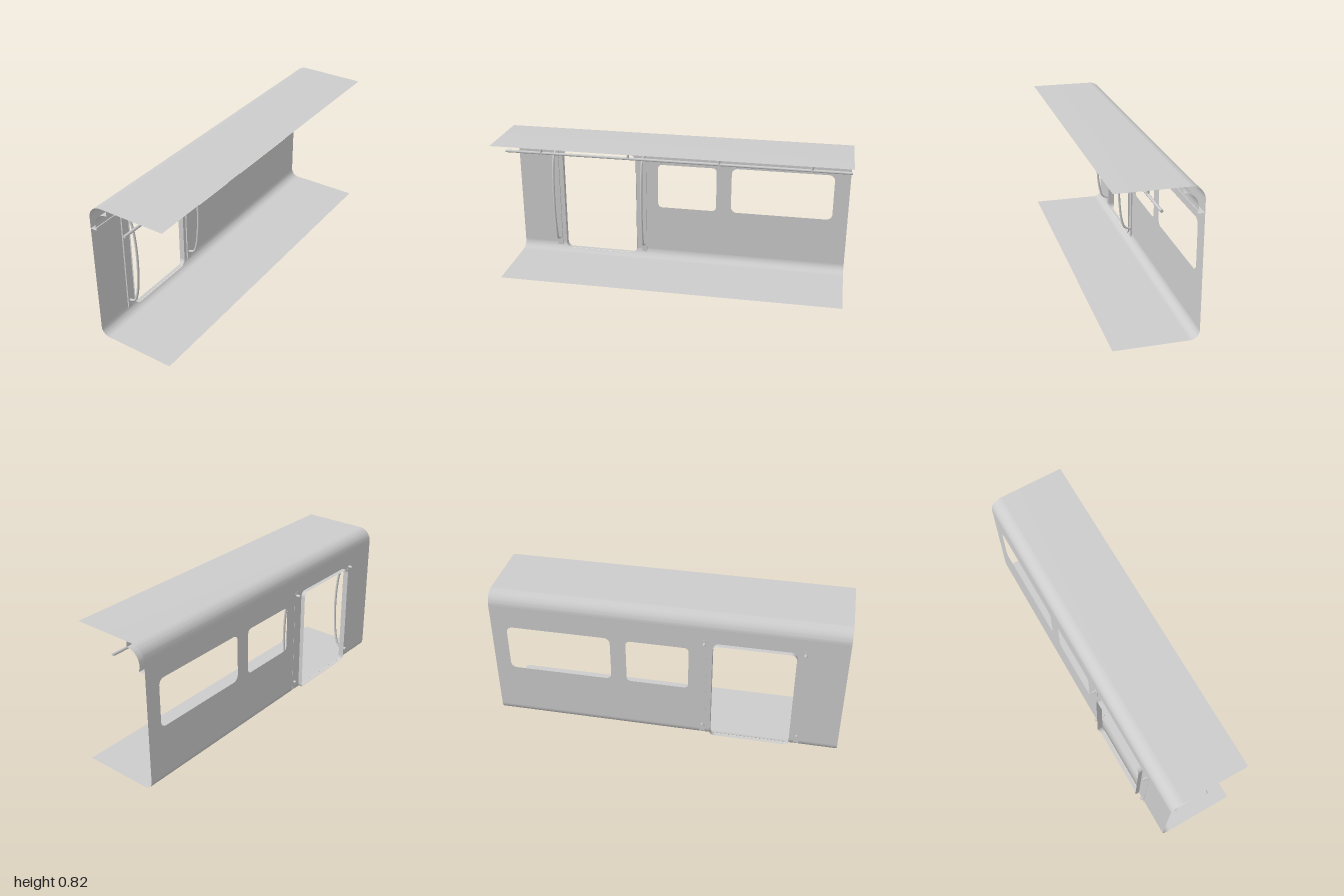
import * as THREE from 'three';
import { toCreasedNormals } from 'three/addons/utils/BufferGeometryUtils.js';

const WALL = -0.213, EDGE = 0.238, TOP = 0.825;
const R_TOP = 0.075, R_LOW = 0.05;
const DOOR = { z0: 0.27, z1: 0.725, y0: 0.018, y1: 0.66, r: 0.032 };
const mat = new THREE.MeshStandardMaterial({ color: 0xcccccc, side: THREE.DoubleSide });

const V = (x, y, z) => new THREE.Vector3(x, y, z);

// Surface through equally long rows of points
function loft(rows) {
  const n = rows[0].length, index = [];
  for (let i = 0; i < rows.length - 1; i++) {
    for (let j = 0; j < n - 1; j++) {
      const a = i * n + j, b = a + n;
      index.push(a, b, a + 1, b, b + 1, a + 1);
    }
  }
  const g = new THREE.BufferGeometry().setFromPoints(rows.flat());
  g.setIndex(index);
  return toCreasedNormals(g, 0.6);
}

// Profile of [x, y] points carried along the full length
const sweep = (profile) => loft([-1, 1].map((z) => profile.map(([x, y]) => V(x, y, z))));

function arc(cx, cy, r, a0, a1, steps = 16) {
  return Array.from({ length: steps + 1 }, (_, i) => {
    const a = a0 + (a1 - a0) * i / steps;
    return [cx + r * Math.cos(a), cy + r * Math.sin(a)];
  });
}

function roundedRect(target, z0, z1, y0, y1, r) {
  target.moveTo(z0 + r, y0);
  target.lineTo(z1 - r, y0);
  target.absarc(z1 - r, y0 + r, r, -Math.PI / 2, 0, false);
  target.lineTo(z1, y1 - r);
  target.absarc(z1 - r, y1 - r, r, 0, Math.PI / 2, false);
  target.lineTo(z0 + r, y1);
  target.absarc(z0 + r, y1 - r, r, Math.PI / 2, Math.PI, false);
  target.lineTo(z0, y0 + r);
  target.absarc(z0 + r, y0 + r, r, Math.PI, Math.PI * 1.5, false);
  return target;
}

// Flat wall with the door notch and two windows
function wallGeometry() {
  const { z0, z1, y1, r } = DOOR;
  const s = new THREE.Shape();
  s.moveTo(-1, R_LOW);
  s.lineTo(z0, R_LOW);
  s.lineTo(z0, y1 - r);
  s.absarc(z0 + r, y1 - r, r, Math.PI, Math.PI / 2, true);
  s.lineTo(z1 - r, y1);
  s.absarc(z1 - r, y1 - r, r, Math.PI / 2, 0, true);
  s.lineTo(z1, R_LOW);
  s.lineTo(1, R_LOW);
  s.lineTo(1, TOP - R_TOP);
  s.lineTo(-1, TOP - R_TOP);
  s.holes.push(roundedRect(new THREE.Path(), -0.22, 0.135, 0.335, 0.61, 0.025));
  s.holes.push(roundedRect(new THREE.Path(), -0.91, -0.31, 0.335, 0.615, 0.035));
  const g = new THREE.ShapeGeometry(s, 8);
  const p = g.attributes.position;
  for (let i = 0; i < p.count; i++) p.setXYZ(i, WALL, p.getY(i), p.getX(i));
  g.computeVertexNormals();
  return g;
}

// Curved foot of the wall, cut down where the door passes through it
function lowerCornerGeometry() {
  const { z0, z1, y0, r } = DOOR;
  const zs = [-1], rows = [];
  for (let i = 0; i <= 10; i++) zs.push(z0 + r * (1 - Math.cos(i / 10 * Math.PI / 2)));
  for (let i = 10; i >= 0; i--) zs.push(z1 - r * (1 - Math.cos(i / 10 * Math.PI / 2)));
  zs.push(1);
  for (const z of zs) {
    const d = Math.min(z - z0, z1 - z);
    const k = THREE.MathUtils.clamp(r - d, 0, r);
    const cut = y0 + r - Math.sqrt(r * r - k * k);
    const tMax = Math.acos(1 - Math.min(cut, R_LOW) / R_LOW);
    rows.push(Array.from({ length: 13 }, (_, j) => {
      const t = tMax * j / 12;
      return V(WALL + R_LOW * (1 - Math.sin(t)), R_LOW * (1 - Math.cos(t)), z);
    }));
  }
  return loft(rows);
}

// Sleeve around the doorway; its outer rim follows the curved foot
function doorFrameGeometry() {
  const { z0, z1, y0, y1, r } = DOOR;
  const pts = roundedRect(new THREE.Path(), z0, z1, y0, y1, r).getPoints(8);
  pts.push(pts[0].clone());
  const rim = (x, follow) => pts.map((p) => {
    const d = Math.max(0, R_LOW - p.y);
    return V(x + follow * (R_LOW - Math.sqrt(R_LOW * R_LOW - d * d)), p.y, p.x);
  });
  return loft([rim(-0.238, 1), rim(-0.205, 0)]);
}

export function createModel() {
  const group = new THREE.Group();
  const add = (name, geometry, x = 0, y = 0, z = 0) => {
    const m = new THREE.Mesh(geometry, mat);
    m.name = name;
    m.position.set(x, y, z);
    group.add(m);
    return m;
  };

  // Body shell
  add('floor', sweep([[EDGE, 0], [WALL + R_LOW, 0]]));
  add('wallFoot', lowerCornerGeometry());
  add('sideWall', wallGeometry());
  add('roof', sweep([
    ...arc(WALL + R_TOP, TOP - R_TOP, R_TOP, Math.PI, Math.PI / 2), [EDGE, TOP],
  ]));
  add('doorFrame', doorFrameGeometry());

  // Concave panel between wall and ceiling
  add('ceilingCove', sweep([
    [-0.1, TOP], [-0.1, 0.795],
    ...arc(-0.1, 0.715, 0.08, Math.PI / 2, Math.PI),
    [-0.18, 0.7], [-0.175, 0.7], [-0.175, 0.685], [WALL, 0.685],
  ]));

  // Overhead grab rail and its hangers
  const railX = 0.003;
  add('overheadRail', new THREE.CylinderGeometry(0.008, 0.008, 2, 16), railX, 0.716, 0)
    .rotation.x = Math.PI / 2;
  for (const z of [0.785, 0.265, -0.26, -0.78]) {
    add('railHanger', new THREE.CylinderGeometry(0.008, 0.008, 0.115, 16), railX, 0.7675, z);
  }

  // Bowed handles on backing strips, either side of the door
  const bow = [
    [-0.228, 0.082], [-0.2, 0.082], [-0.168, 0.097], [-0.149, 0.15], [-0.136, 0.25],
    [-0.131, 0.37], [-0.136, 0.49], [-0.149, 0.585], [-0.168, 0.637], [-0.2, 0.653], [-0.238, 0.653],
  ];
  for (const z of [0.768, 0.222]) {
    add('handleStrip', new THREE.BoxGeometry(0.009, 0.643, 0.03), -0.2095, 0.3525, z);
    const path = new THREE.CatmullRomCurve3(bow.map(([x, y]) => V(x, y, z)));
    add('grabHandle', new THREE.TubeGeometry(path, 64, 0.007, 12));
    for (const [x, y] of [bow[0], bow[bow.length - 1]]) {
      add('handlePeg', new THREE.CylinderGeometry(0.008, 0.008, 0.02, 12), x + 0.01, y, z)
        .rotation.z = Math.PI / 2;
    }
  }
  return group;
}
